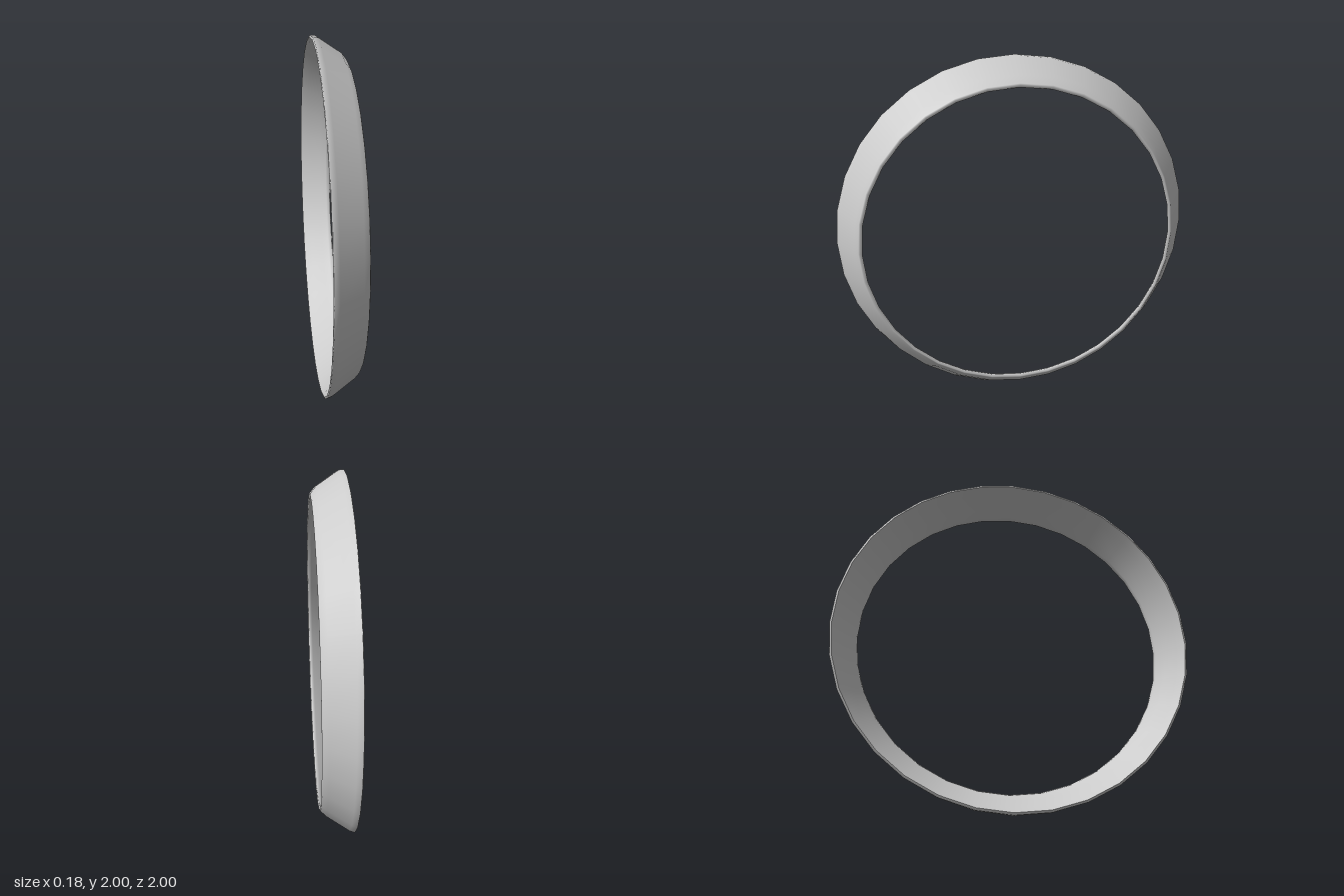
import * as THREE from 'three';

// Closed cross-section of the thin flared band: [position along x, radius, bulge at top and bottom]
const section = [
  [-0.092, 0.988, 0],
  [-0.088, 1.0, 0],
  [-0.06, 0.98, 0.018],
  [0.06, 0.9, 0.018],
  [0.088, 0.881, 0],
  [0.092, 0.872, 0],
  [0.086, 0.86, 0],
  [0.065, 0.868, 0],
  [0.03, 0.9, 0],
  [-0.05, 0.957, 0],
  [-0.092, 0.988, 0],
];

export function createModel() {
  const group = new THREE.Group();
  group.name = 'ring';

  const geometry = new THREE.LatheGeometry(section.map(([x, r]) => new THREE.Vector2(r, x)), 32);
  geometry.rotateZ(-Math.PI / 2); // axis along x

  // The outer face is slightly fuller at the top and bottom than at the sides
  const pos = geometry.attributes.position;
  for (let i = 0; i < pos.count; i++) {
    const bulge = section[i % section.length][2];
    const y = pos.getY(i), z = pos.getZ(i);
    const r = Math.hypot(y, z);
    const scale = 1 + (bulge * (y / r) ** 2) / r;
    pos.setY(i, y * scale);
    pos.setZ(i, z * scale);
  }

  const band = new THREE.Mesh(
    geometry,
    new THREE.MeshStandardMaterial({ color: 0xcccccc, side: THREE.DoubleSide })
  );
  band.name = 'flaredBand';
  band.position.y = 1;
  group.add(band);
  return group;
}
